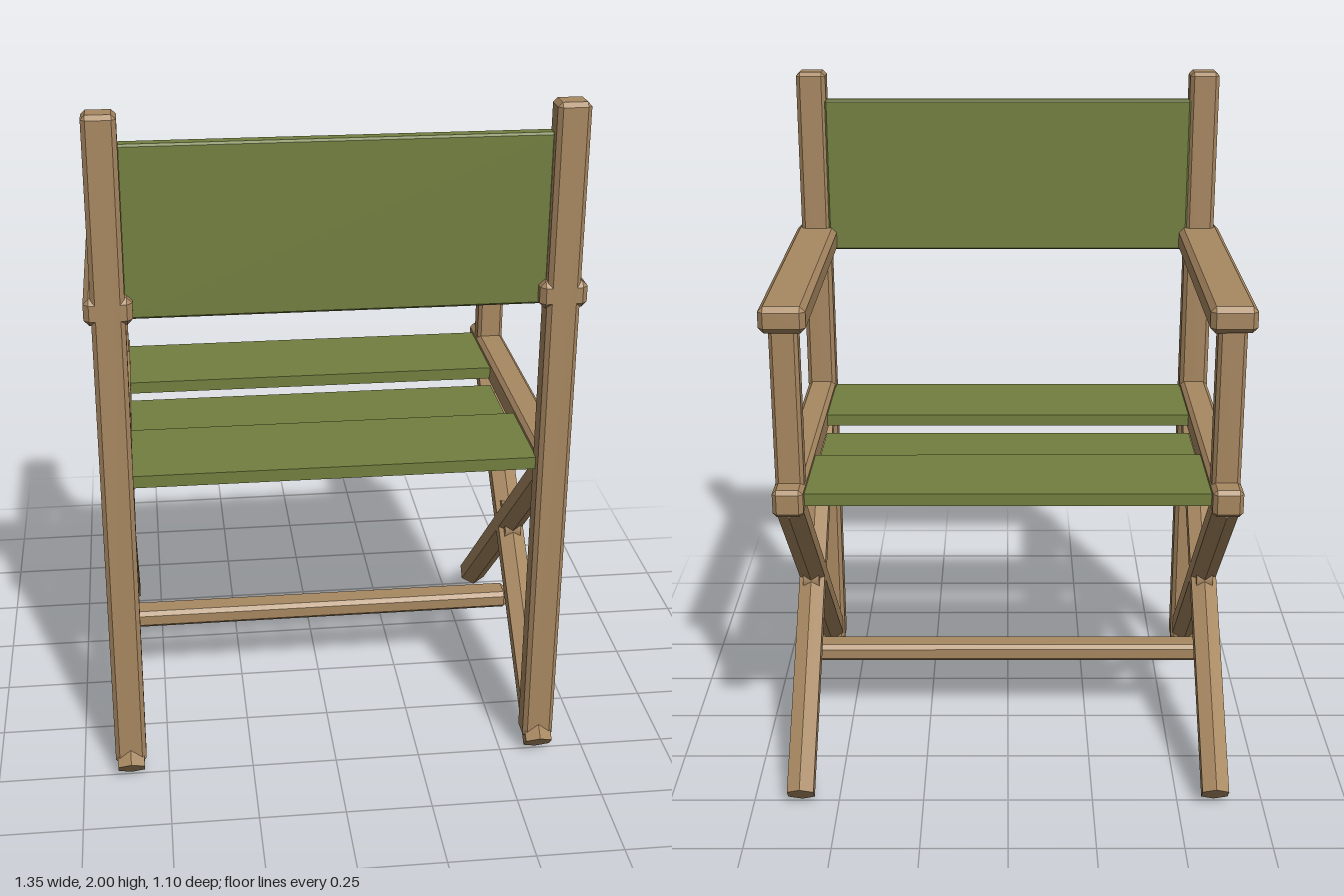
import * as THREE from 'three';
import { ConvexGeometry } from 'three/addons/geometries/ConvexGeometry.js';

const wood = new THREE.MeshStandardMaterial({ name: 'oak wood', color: 0xa88861 });
const canvas = new THREE.MeshStandardMaterial({ name: 'olive canvas', color: 0x727f3f });

// Box with every edge chamfered by c
function chamferBox(w, h, d, c) {
  const pts = [];
  for (const sx of [-1, 1]) for (const sy of [-1, 1]) for (const sz of [-1, 1]) {
    const x = w / 2, y = h / 2, z = d / 2;
    pts.push(
      new THREE.Vector3(sx * x, sy * (y - c), sz * (z - c)),
      new THREE.Vector3(sx * (x - c), sy * y, sz * (z - c)),
      new THREE.Vector3(sx * (x - c), sy * (y - c), sz * z));
  }
  return new ConvexGeometry(pts);
}

function add(parent, name, geometry, material, x, y, z) {
  const mesh = new THREE.Mesh(geometry, material);
  mesh.name = name;
  mesh.position.set(x, y, z);
  parent.add(mesh);
  return mesh;
}

// Hexagonal bar between two points in a side plane, flats facing sideways
function hexBar(parent, name, x, from, to, radius) {
  const dz = to[0] - from[0], dy = to[1] - from[1];
  const geo = new THREE.CylinderGeometry(radius, radius, Math.hypot(dz, dy), 6).toNonIndexed();
  geo.computeVertexNormals();
  const bar = add(parent, name, geo, wood, x, (from[1] + to[1]) / 2, (from[0] + to[0]) / 2);
  bar.rotation.x = Math.atan2(dz, dy);
}

export function createModel() {
  const chair = new THREE.Group();
  chair.name = 'foldingChair';

  // Wooden side frames
  for (const side of [1, -1]) {
    const frame = new THREE.Group();
    frame.name = side > 0 ? 'leftFrame' : 'rightFrame';
    chair.add(frame);
    const x = side * 0.61;
    add(frame, 'backPost', chamferBox(0.09, 1.95, 0.08, 0.012), wood, x, 1.025, 0.48);
    add(frame, 'armrest', chamferBox(0.13, 0.075, 0.995, 0.015), wood, x, 1.4725, 0.0225);
    add(frame, 'armPost', chamferBox(0.08, 0.48, 0.065, 0.01), wood, x, 1.215, -0.4225);
    add(frame, 'seatRail', chamferBox(0.086, 0.08, 1.02, 0.012), wood, x, 0.957, -0.01);

    // Crossed legs and the pivot where they meet
    for (const s of [1, -1]) {
      hexBar(frame, 'crossLeg', x, [s * 0.522, 0.037], [-s * 0.465, 0.942], 0.045);
    }
    const pivot = add(frame, 'pivot', new THREE.CylinderGeometry(0.07, 0.07, 0.05, 12), wood, x, 0.515, 0);
    pivot.rotation.z = Math.PI / 2;
  }

  // Foot bar across the chair
  add(chair, 'footBar', chamferBox(1.22, 0.055, 0.08, 0.012), wood, 0, 0.247, 0);

  // Canvas seat: a lower middle strip between two raised strips
  add(chair, 'seatMiddle', new THREE.BoxGeometry(1.14, 0.036, 0.35), canvas, 0, 0.897, 0);
  for (const s of [1, -1]) {
    add(chair, 'seatStrip', new THREE.BoxGeometry(1.14, 0.036, 0.305), canvas, 0, 0.957, s * 0.3275);
  }

  // Canvas backrest
  add(chair, 'backrest', chamferBox(1.14, 0.475, 0.042, 0.006), canvas, 0, 1.6775, 0.464);

  return chair;
}
